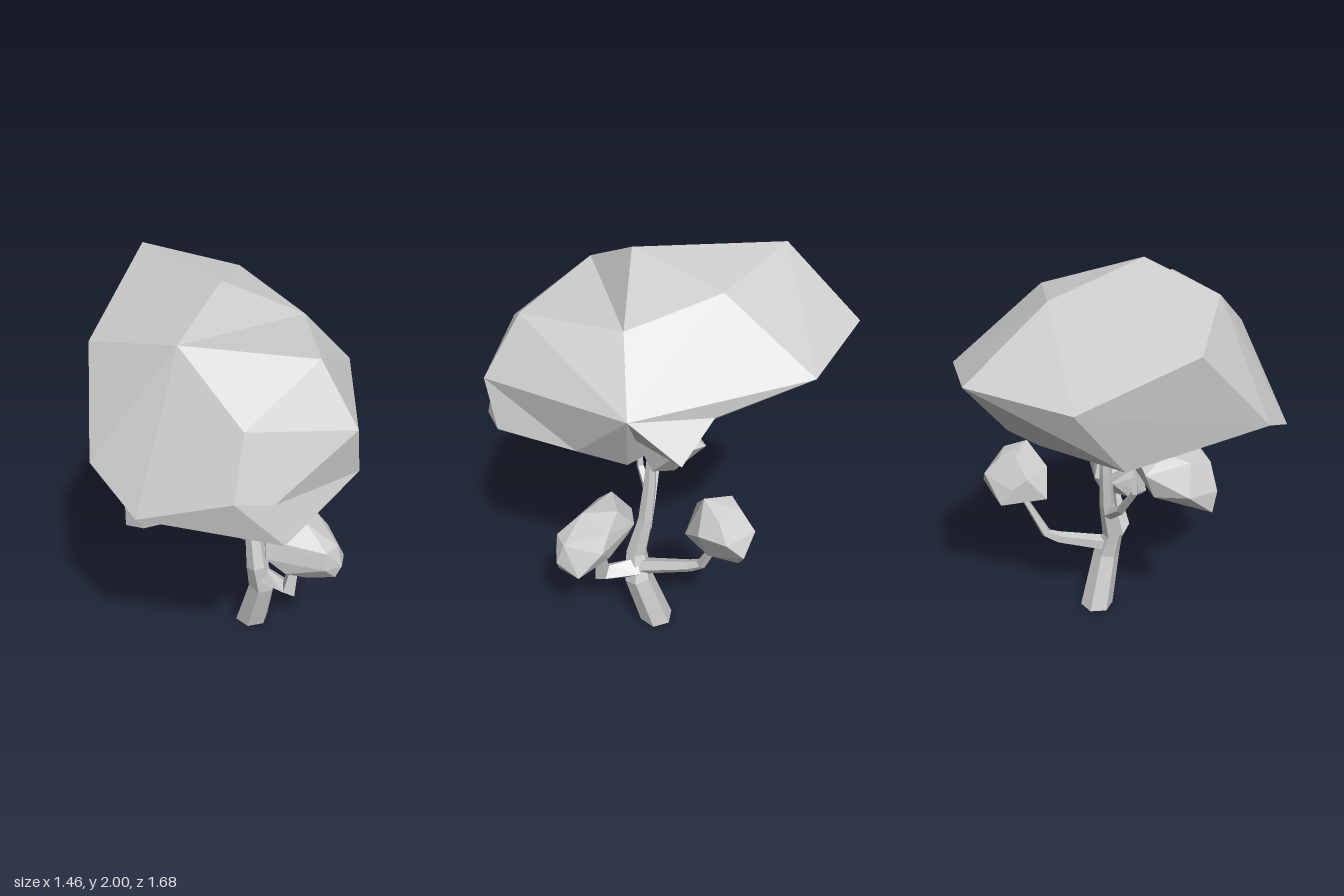
import * as THREE from 'three';
import { ConvexGeometry } from 'three/addons/geometries/ConvexGeometry.js';

const material = new THREE.MeshStandardMaterial({ color: 0xcccccc, flatShading: true });
const vec = (p) => new THREE.Vector3(...p);

function addMesh(group, name, geometry) {
  const mesh = new THREE.Mesh(geometry, material);
  mesh.name = name;
  group.add(mesh);
}

// Faceted foliage mass wrapped around a few corner points
const foliage = (points) => new ConvexGeometry(points.map(vec));

// Faceted limb: each stop is [x, y, z, radius]; nothing dips below y = 0
function limb(stops, sides) {
  const centres = stops.map((s) => vec(s.slice(0, 3)));
  const side = new THREE.Vector3(0.9, 0.1, 0.4);
  const rings = centres.map((c, i) => {
    const before = centres[Math.max(i - 1, 0)];
    const after = centres[Math.min(i + 1, centres.length - 1)];
    const along = after.clone().sub(before).normalize();
    side.addScaledVector(along, -side.dot(along)).normalize();
    const other = along.clone().cross(side);
    return Array.from({ length: sides }, (_, j) => {
      const a = (j / sides) * Math.PI * 2;
      const p = c.clone()
        .addScaledVector(side, Math.cos(a) * stops[i][3])
        .addScaledVector(other, Math.sin(a) * stops[i][3]);
      p.y = Math.max(p.y, 0);
      return p;
    });
  });
  const corners = [];
  const last = rings.length - 1;
  for (let j = 0; j < sides; j++) {
    const k = (j + 1) % sides;
    for (let i = 0; i < last; i++) {
      const [a, b, c, d] = [rings[i][j], rings[i][k], rings[i + 1][k], rings[i + 1][j]];
      corners.push(a, b, c, a, c, d);
    }
    // Fans closing both ends
    if (j > 0 && j < sides - 1) {
      corners.push(rings[0][0], rings[0][k], rings[0][j]);
      corners.push(rings[last][0], rings[last][j], rings[last][k]);
    }
  }
  const geometry = new THREE.BufferGeometry().setFromPoints(corners);
  geometry.computeVertexNormals();
  return geometry;
}

export function createModel() {
  const tree = new THREE.Group();
  tree.name = 'tree';

  // Trunk and branches
  addMesh(tree, 'trunk', limb([
    [0.19, -0.04, 0.1, 0.09], [0.18, 0.3, 0.19, 0.072], [0.14, 0.44, 0.19, 0.055],
    [0.145, 0.65, 0.14, 0.04], [0.135, 0.85, 0.115, 0.033],
    [0.13, 1.0, 0.105, 0.024], [0.14, 1.25, 0.11, 0.02],
  ], 6));
  addMesh(tree, 'rightBranch', limb([
    [0.17, 0.36, 0.19, 0.045], [0.34, 0.47, -0.04, 0.032],
    [0.38, 0.51, -0.09, 0.026], [0.48, 0.76, -0.16, 0.014],
  ], 5));
  addMesh(tree, 'frontBranch', limb([
    [0.18, 0.36, 0.2, 0.06], [0.2, 0.38, 0.38, 0.05], [0.24, 0.6, 0.39, 0.014],
  ], 4));
  addMesh(tree, 'leftBranch', limb([
    [0.14, 0.58, 0.14, 0.03], [0.03, 0.67, 0.09, 0.025],
    [-0.09, 0.84, 0.03, 0.018], [-0.09, 0.98, 0.04, 0.014],
  ], 4));
  addMesh(tree, 'upperBranch', limb([
    [0.13, 0.8, 0.12, 0.026], [0.02, 0.89, 0.14, 0.02], [-0.005, 1.2, 0.15, 0.016],
  ], 4));

  // Corners shared by the parts of the crown
  const rightPeak = [0.58, 1.53, 0.29];
  const bottom = [-0.04, 1.0, 0.44];
  const seam = [
    [-0.38, 1.84, 0.28], [0.32, 1.8, 0.25], rightPeak, [-0.73, 1.34, 0.12], bottom,
  ];
  const leftRim = [[-0.7, 1.21, 0.43], [-0.42, 1.33, 0.72]];
  const rightRim = [0.35, 1.26, 0.48];
  const brow = [0.12, 1.54, 0.83];
  const cheek = [-0.33, 1.6, 0.66];
  const fold = [-0.27, 1.31, 0.79];
  const lip = [-0.25, 1.13, 0.84];
  const chin = [0.18, 1.31, 0.8];
  const hollow = [0.33, 1.31, -0.1];
  const skirt = [0.43, 1.21, 0.27];

  addMesh(tree, 'crownBack', foliage([
    ...seam, hollow,
    [0.2, 1.67, -0.84], [-0.02, 1.98, -0.55], [-0.06, 2.0, 0.14],
    [0.28, 1.91, -0.18], [-0.53, 1.73, -0.19], [0.53, 1.6, -0.52],
    [0.56, 1.49, -0.08], [-0.17, 1.54, -0.61], [0.19, 1.38, -0.59],
    [0.11, 1.28, -0.48], [-0.29, 1.22, -0.4],
  ]));
  addMesh(tree, 'crownFront', foliage([
    ...seam, ...leftRim, cheek, fold, brow, rightRim, [0.06, 1.8, 0.65],
  ]));
  addMesh(tree, 'crownLeftLip', foliage([...leftRim, cheek, fold, lip, bottom]));
  addMesh(tree, 'crownFrontLip', foliage([lip, chin, fold, bottom]));
  addMesh(tree, 'crownChin', foliage([brow, rightRim, bottom, fold, chin]));
  addMesh(tree, 'crownSkirt', foliage([rightPeak, rightRim, skirt, hollow, bottom]));
  addMesh(tree, 'crownSpur', foliage([
    rightPeak, [0.73, 1.39, 0.1], [0.56, 1.49, -0.08],
    [0.45, 1.38, 0.27], [0.35, 1.4, 0.0],
  ]));
  addMesh(tree, 'crownSpurUnderside', foliage([
    [0.65, 1.39, 0.1], [0.55, 1.24, 0.09], [0.53, 1.235, 0.18], [0.47, 1.4, 0.25],
    [0.4, 1.24, 0.18], [0.58, 1.37, -0.04], [0.38, 1.35, -0.02], [0.5, 1.45, 0.1],
  ]));

  // Small foliage clumps at the branch ends
  addMesh(tree, 'leftClump', foliage([
    [-0.53, 0.98, 0.04], [-0.46, 1.09, 0.1], [-0.52, 0.87, 0.02], [-0.46, 0.86, 0.08],
    [-0.3, 0.87, 0.11], [-0.3, 0.88, 0.02], [-0.08, 0.94, 0.12], [-0.08, 1.0, 0.02],
    [-0.1, 1.03, 0.22], [-0.3, 0.95, 0.24], [-0.32, 1.09, 0.24], [-0.12, 1.17, -0.07],
    [-0.3, 1.16, -0.06], [-0.2, 1.14, 0.1], [-0.42, 1.13, -0.03], [-0.25, 1.07, -0.15],
    [-0.45, 0.98, -0.09], [-0.28, 0.95, -0.12], [-0.38, 1.14, 0.12],
  ]));
  addMesh(tree, 'rightClump', foliage([
    [0.5, 1.02, -0.06], [0.47, 0.99, -0.2], [0.62, 0.97, -0.1], [0.56, 0.97, -0.22],
    [0.38, 0.9, -0.06], [0.38, 0.9, -0.23], [0.68, 0.88, -0.12], [0.6, 0.89, -0.01],
    [0.69, 0.8, -0.2], [0.62, 0.89, -0.27], [0.3, 0.79, -0.18], [0.48, 0.81, 0.02],
    [0.5, 0.75, -0.3], [0.62, 0.71, -0.2], [0.53, 0.7, -0.08], [0.39, 0.76, -0.09],
    [0.45, 0.84, -0.27],
  ]));
  addMesh(tree, 'frontClump', foliage([
    [0.04, 0.64, 0.38], [0.05, 0.74, 0.36], [0.11, 0.82, 0.3], [0.29, 0.84, 0.3],
    [0.37, 0.78, 0.36], [0.42, 0.7, 0.4], [0.43, 0.58, 0.52], [0.33, 0.53, 0.53],
    [0.2, 0.53, 0.5], [0.11, 0.56, 0.45], [0.15, 0.73, 0.21], [0.27, 0.73, 0.22],
    [0.25, 0.65, 0.25], [0.1, 0.62, 0.3], [0.36, 0.62, 0.36], [0.23, 0.62, 0.6],
    [0.33, 0.61, 0.61], [0.24, 0.71, 0.59], [0.33, 0.71, 0.57], [0.23, 0.81, 0.46],
    [0.3, 0.55, 0.6],
  ]));

  return tree;
}
